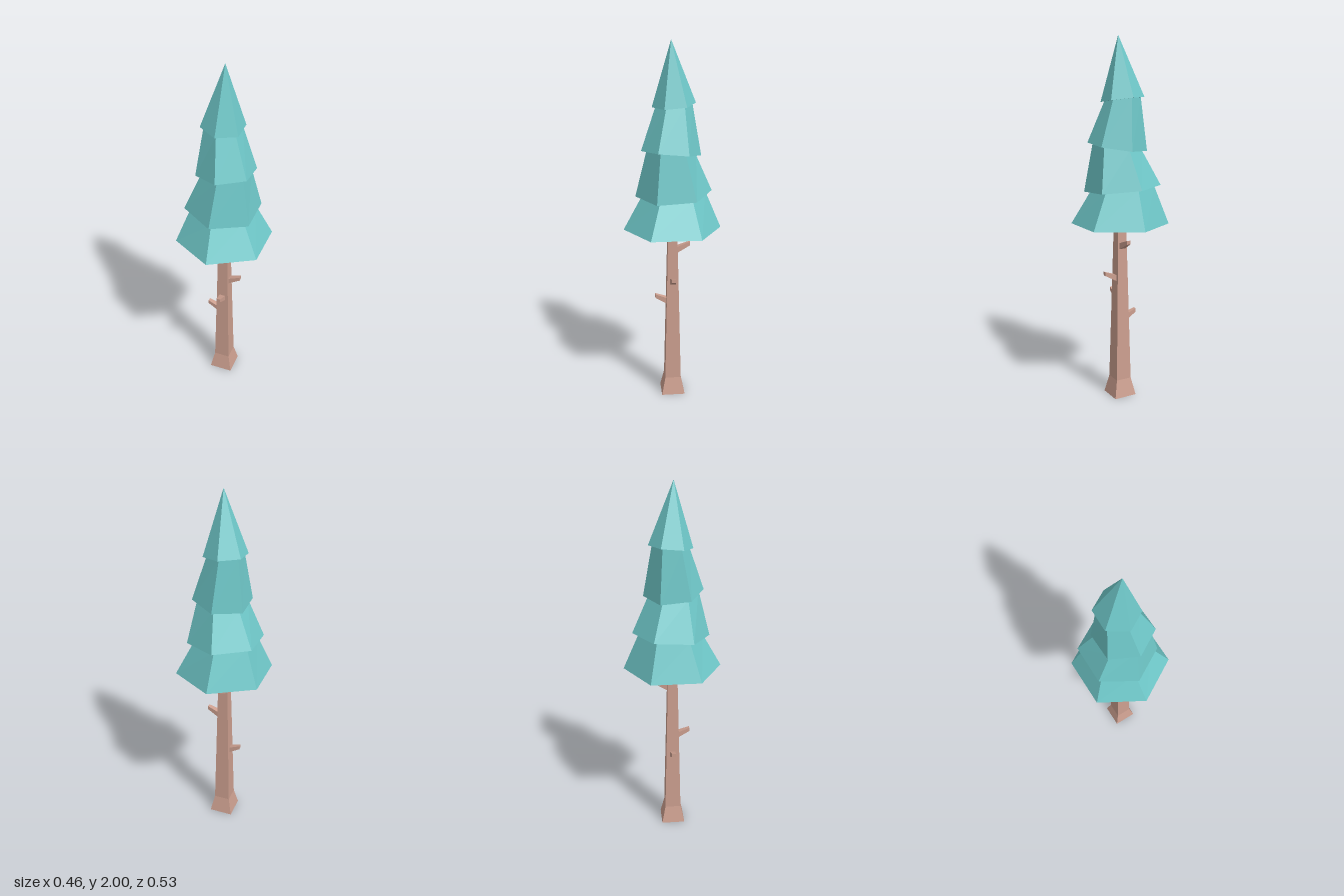
import * as THREE from 'three';

const bark = new THREE.MeshStandardMaterial({ color: 0xcc9f8f, flatShading: true });
const needles = new THREE.MeshStandardMaterial({ color: 0x6fc8c9, flatShading: true });

function addMesh(parent, name, geometry, material) {
  const mesh = new THREE.Mesh(geometry, material);
  mesh.name = name;
  parent.add(mesh);
  return mesh;
}

// Skin a stack of six-sided rings; each ring is tilted by slopes a (along x) and b (along z)
function loftRings(rings, sides = 6) {
  const position = [];
  const corner = ({ x, y, z, r, a = 0, b = 0 }, k) => {
    const t = (k / sides) * Math.PI * 2;
    const dx = Math.sin(t) * r, dz = Math.cos(t) * r;
    return [x + dx, y + a * dx + b * dz, z + dz];
  };
  for (let i = 0; i < rings.length - 1; i++) {
    const [low, high] = [rings[i], rings[i + 1]];
    for (let k = 0; k < sides; k++) {
      const p = corner(low, k), q = corner(low, k + 1);
      const s = corner(high, k + 1), t = corner(high, k);
      if (low.r > 0) position.push(...p, ...q, ...s);
      if (high.r > 0) position.push(...p, ...s, ...t);
    }
  }
  const geometry = new THREE.BufferGeometry();
  geometry.setAttribute('position', new THREE.Float32BufferAttribute(position, 3));
  geometry.computeVertexNormals();
  return geometry;
}

// Square stub pointing along +x, sheared upward so its end stays vertical
function branchGeometry() {
  const start = 0.01, end = 0.097, slope = 0.45;
  const geometry = new THREE.CylinderGeometry(0.0105 * Math.SQRT2, 0.019 * Math.SQRT2, end - start, 4);
  geometry.rotateY(Math.PI / 4).rotateZ(-Math.PI / 2).translate((start + end) / 2, 0, 0);
  const p = geometry.attributes.position;
  for (let i = 0; i < p.count; i++) p.setY(i, p.getY(i) + slope * (p.getX(i) - 0.03));
  geometry.computeVertexNormals();
  return geometry;
}

export function createModel() {
  const tree = new THREE.Group();
  tree.name = 'pineTree';

  // Square trunk with a flared foot
  const profile = [[0, 0], [0.066, 0], [0.045, 0.1], [0.025, 1.0], [0, 1.0]]
    .map(([half, y]) => new THREE.Vector2(half * Math.SQRT2, y));
  const trunk = new THREE.LatheGeometry(profile, 4).rotateY(Math.PI / 4);
  addMesh(tree, 'trunk', trunk, bark);

  // Branch stubs, one on each side of the trunk
  const branches = new THREE.Group();
  branches.name = 'branches';
  tree.add(branches);
  const stub = branchGeometry();
  [
    ['leftBranch', 0.695, 0],
    ['backBranch', 0.88, Math.PI / 2],
    ['rightBranch', 0.457, Math.PI],
    ['frontBranch', 0.573, -Math.PI / 2],
  ].forEach(([name, y, turn]) => {
    const branch = addMesh(branches, name, stub, bark);
    branch.position.y = y;
    branch.rotation.y = turn;
  });

  // Foliage tiers: skirt ring, and the neck radius of the tier below that tucks under it
  const tiers = [
    { x: 0, y: 1.0, z: 0, r: 0.267, neck: 0 },
    { x: -0.01, y: 1.195, z: -0.008, r: 0.208, a: -0.07, b: -0.06, neck: 0.172 },
    { x: 0.013, y: 1.42, z: 0.007, r: 0.16, a: 0.11, b: 0.09, neck: 0.132 },
    { x: -0.01, y: 1.67, z: -0.009, r: 0.116, a: -0.08, b: -0.09, neck: 0.097 },
  ];
  const rings = tiers.flatMap((tier) => [{ ...tier, r: tier.neck }, tier]);
  rings.push({ x: 0.007, y: 2.0, z: 0.007, r: 0 });
  addMesh(tree, 'foliage', loftRings(rings), needles);

  return tree;
}
